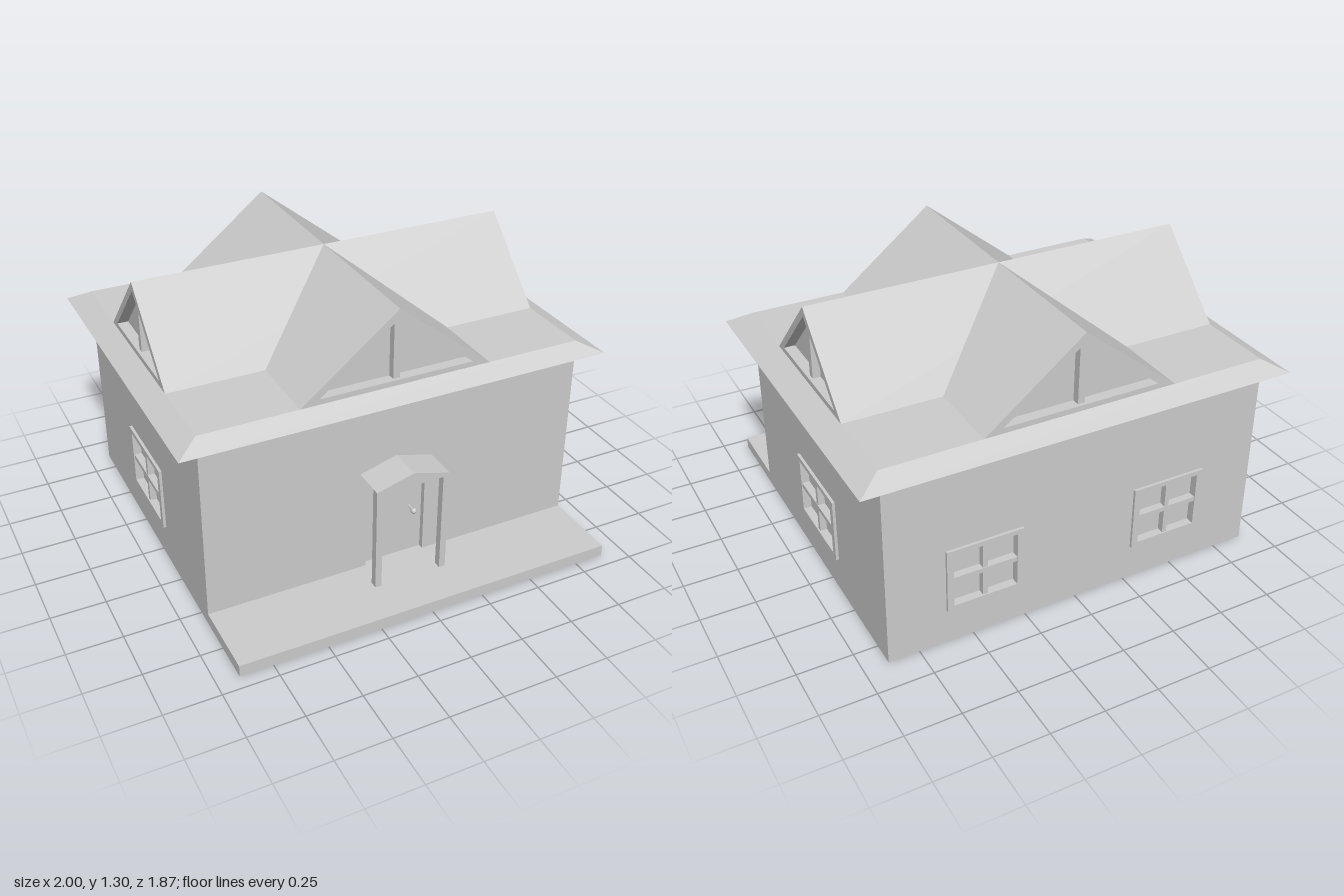
import * as THREE from 'three';

const grey = new THREE.MeshStandardMaterial({ color: 0xcccccc, flatShading: true });

function add(parent, name, geometry) {
  const mesh = new THREE.Mesh(geometry, grey);
  mesh.name = name;
  parent.add(mesh);
  return mesh;
}

// Box given by its minimum and maximum corners
function box(parent, name, [x0, y0, z0], [x1, y1, z1]) {
  const g = new THREE.BoxGeometry(x1 - x0, y1 - y0, z1 - z0);
  g.translate((x0 + x1) / 2, (y0 + y1) / 2, (z0 + z1) / 2);
  return add(parent, name, g);
}

const polygon = (Type, pts) => new Type(pts.map(([x, y]) => new THREE.Vector2(x, y)));
const rect = (w, x, y0, y1) => [[x - w / 2, y0], [x + w / 2, y0], [x + w / 2, y1], [x - w / 2, y1]];
const extrude = (shape, depth) => new THREE.ExtrudeGeometry(shape, { depth, bevelEnabled: false });

const X = -0.005;                         // middle of the house across
const Z = -0.1375;                        // middle of the house front to back
const W = 1.79, D = 1.445, H = 0.88;      // walls
const RECESS = 0.025;

// Framed window with crossing bars, centred on x, its wall surface at z = 0
function makeWindow(w, x) {
  const g = new THREE.Group();
  g.name = 'window';
  g.position.x = x;
  const y0 = 0.17, y1 = 0.475, ym = (y0 + y1) / 2, out = 0.013;
  const frame = polygon(THREE.Shape, rect(w, 0, y0, y1));
  frame.holes.push(polygon(THREE.Path, rect(w - 0.06, 0, y0 + 0.022, y1 - 0.022).reverse()));
  add(g, 'windowFrame', extrude(frame, RECESS + out)).position.z = -RECESS;
  box(g, 'verticalBar', [-0.011, y0 + 0.02, -RECESS], [0.011, y1 - 0.02, 0.006]);
  box(g, 'horizontalBar', [-w / 2 + 0.02, ym - 0.011, -RECESS], [w / 2 - 0.02, ym + 0.011, 0.009]);
  return g;
}

// Wall panel facing +z with its surface at z = 0, openings cut through it
function makeWall(name, width, windows, doorway) {
  const g = new THREE.Group();
  g.name = name;
  const shape = polygon(THREE.Shape, rect(width, 0, 0, H));
  for (const [w, x] of windows) {
    shape.holes.push(polygon(THREE.Path, rect(w, x, 0.17, 0.475).reverse()));
    g.add(makeWindow(w, x));
  }
  if (doorway) shape.holes.push(polygon(THREE.Path, rect(0.29, 0, 0.055, 0.54).reverse()));
  add(g, 'wallPanel', extrude(shape, RECESS)).position.z = -RECESS;
  return g;
}

// Gable roof running along z, with recessed triangular windows at both ends
function makeGable(name, half, length) {
  const g = new THREE.Group();
  g.name = name;
  const y0 = 0.95, y1 = 1.305, inset = 0.05;
  const outer = [[-half, y0], [half, y0], [0, y1]];
  const k = half / (y1 - y0);
  const innerHalf = (1.262 - 0.975) * k;
  const inner = [[-innerHalf, 0.975], [0, 1.262], [innerHalf, 0.975]];
  const shape = polygon(THREE.Shape, outer);
  shape.holes.push(polygon(THREE.Path, inner));
  add(g, 'roofShell', extrude(shape, length)).position.z = -length / 2;
  const panel = polygon(THREE.Shape, [...inner].reverse());
  add(g, 'gablePanel', extrude(panel, length - 2 * inset)).position.z = -length / 2 + inset;
  for (const s of [-1, 1]) {
    const bar = box(g, 'gableBar', [-0.016, 0.972, -0.02], [0.016, 1.258, 0.02]);
    bar.position.z = s * (length / 2 - 0.035);
  }
  return g;
}

// Eaves: rectangular rings joined from the wall top out to the edge and in to the flat deck
function eavesGeometry() {
  const rings = [
    [-0.9, 0.89, -0.86, 0.585, 0.88],
    [-1, 1, -0.935, 0.655, 0.897],
    [-0.9, 0.89, -0.85, 0.58, 0.95],
  ];
  const pos = [], index = [];
  for (const [x0, x1, z0, z1, y] of rings) pos.push(x0, y, z1, x1, y, z1, x1, y, z0, x0, y, z0);
  for (let r = 0; r < 2; r++) {
    for (let i = 0; i < 4; i++) {
      const a = r * 4 + i, b = r * 4 + (i + 1) % 4;
      index.push(a, b, b + 4, a, b + 4, a + 4);
    }
  }
  index.push(0, 2, 1, 0, 3, 2, 8, 9, 10, 8, 10, 11);
  const g = new THREE.BufferGeometry();
  g.setAttribute('position', new THREE.Float32BufferAttribute(pos, 3));
  g.setIndex(index);
  const flat = g.toNonIndexed();
  flat.computeVertexNormals();
  return flat;
}

function makePorch() {
  const porch = new THREE.Group();
  porch.name = 'porch';
  box(porch, 'porchSlab', [-0.9, 0, 0.58], [0.89, 0.055, 0.935]);
  for (const s of [-1, 1]) {
    const c = X + s * 0.16;
    box(porch, 'porchPost', [c - 0.015, 0.055, 0.705], [c + 0.015, 0.556, 0.74]);
  }
  // Peaked canopy over the door
  const canopy = polygon(THREE.Shape, [
    [X - 0.145, 0.542], [X + 0.145, 0.542], [X + 0.175, 0.556], [X, 0.605], [X - 0.175, 0.556],
  ]);
  add(porch, 'canopy', extrude(canopy, 0.155)).position.z = 0.585;
  // Door knob on its stem
  const stem = new THREE.CylinderGeometry(0.006, 0.006, 0.05, 10).rotateX(Math.PI / 2);
  add(porch, 'knobStem', stem).position.set(0.078, 0.297, 0.58);
  const knob = add(porch, 'doorKnob', new THREE.SphereGeometry(0.014, 16, 10));
  knob.material = new THREE.MeshStandardMaterial({ color: 0xcccccc });
  knob.position.set(0.078, 0.297, 0.606);
  return porch;
}

export function createModel() {
  const house = new THREE.Group();
  house.name = 'house';

  // Core behind the wall openings serves as door leaf and panes
  box(house, 'core', [-0.9 + RECESS, 0.002, -0.86 + RECESS], [0.89 - RECESS, H, 0.585 - RECESS]);

  const walls = [
    // name, width, windows [width, x], doorway, position, turn about y
    ['frontWall', W, [], true, [X, 0, 0.585], 0],
    ['backWall', W, [[0.355, -0.45], [0.355, 0.45]], false, [X, 0, -0.86], Math.PI],
    ['leftWall', D, [[0.42, 0]], false, [0.89, 0, Z], Math.PI / 2],
    ['rightWall', D, [[0.42, 0]], false, [-0.9, 0, Z], -Math.PI / 2],
  ];
  for (const [name, width, windows, doorway, at, turn] of walls) {
    const wall = makeWall(name, width, windows, doorway);
    wall.position.set(...at);
    wall.rotation.y = turn;
    house.add(wall);
  }

  house.add(makePorch());
  add(house, 'eaves', eavesGeometry());

  // Two crossing gable roofs
  const longRoof = makeGable('frontToBackRoof', 0.447, 1.43);
  longRoof.position.set(X, 0, -0.135);
  const crossRoof = makeGable('sideToSideRoof', 0.357, W);
  crossRoof.rotation.y = Math.PI / 2;
  crossRoof.position.set(X, 0, -0.135);
  house.add(longRoof, crossRoof);

  return house;
}
